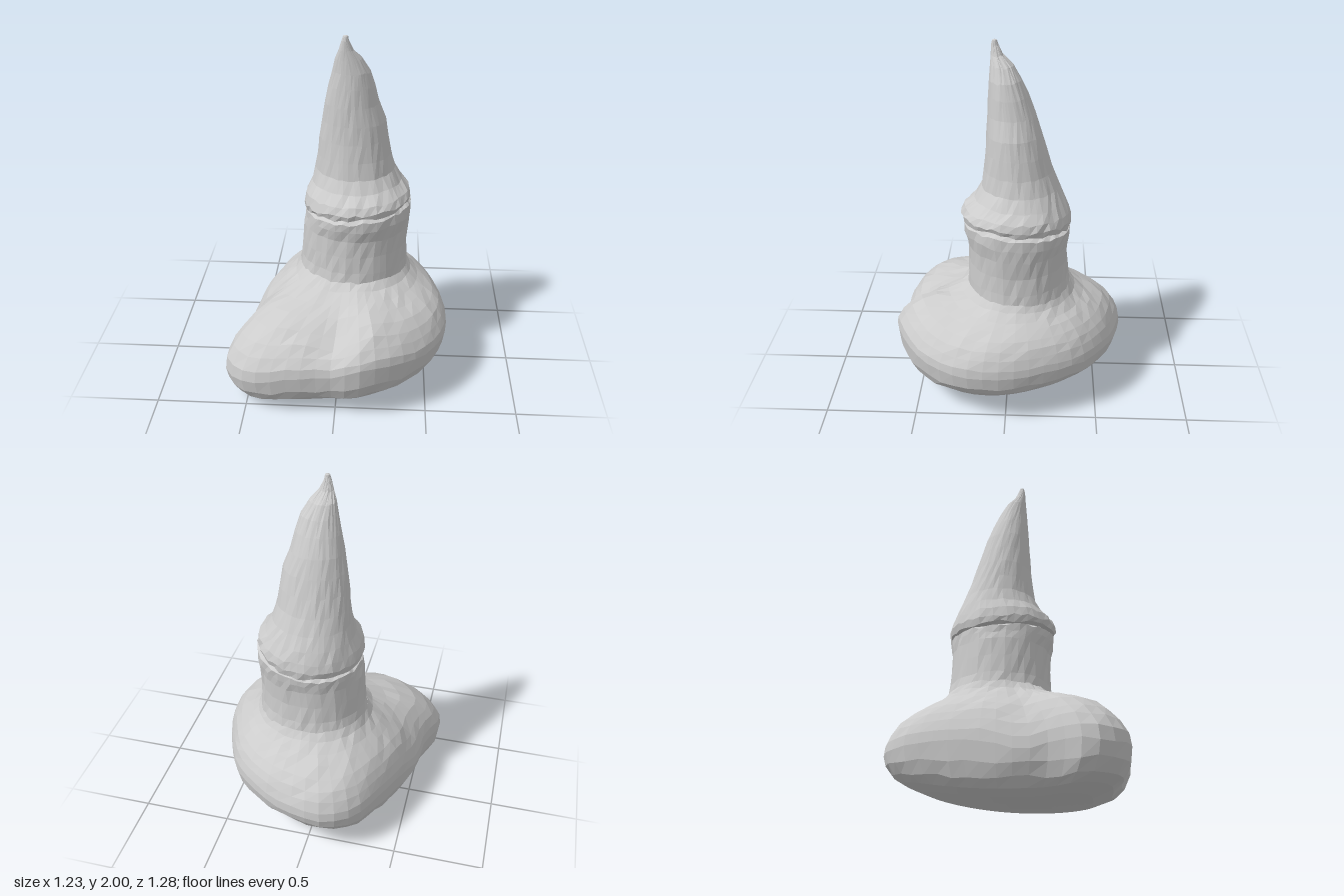
import * as THREE from 'three';

const SEG = 48;
const material = new THREE.MeshStandardMaterial({ color: 0xcccccc, flatShading: true, side: THREE.DoubleSide });

// Small repeatable wobble in -1..1
const wobble = (i, j) => {
  const s = Math.sin(i * 127.1 + j * 311.7) * 43758.5453;
  return (s - Math.floor(s)) * 2 - 1;
};

// Joins closed rings of points, listed from bottom to top, into one skin
function loft(name, rings) {
  const pos = rings.flat().flatMap((p) => [p.x, p.y, p.z]);
  const index = [];
  for (let j = 0; j < rings.length - 1; j++) {
    for (let i = 0; i < SEG; i++) {
      const k = (i + 1) % SEG;
      const a = j * SEG + i, b = j * SEG + k, c = a + SEG, d = b + SEG;
      index.push(a, c, b, b, c, d);
    }
  }
  const geometry = new THREE.BufferGeometry();
  geometry.setAttribute('position', new THREE.Float32BufferAttribute(pos, 3));
  geometry.setIndex(index);
  geometry.computeVertexNormals();
  const mesh = new THREE.Mesh(geometry, material);
  mesh.name = name;
  return mesh;
}

// Rough oval ring given by its extents; tilt raises the left and front edges
function oval([y, x0, x1, z0, z1, tilt = 0, rough = 0.004], j) {
  return Array.from({ length: SEG }, (_, i) => {
    const a = (i / SEG) * Math.PI * 2;
    const r = 1 + 0.015 * wobble(i, j);
    return new THREE.Vector3(
      (x0 + x1) / 2 + ((x1 - x0) / 2) * r * Math.cos(a),
      y + tilt * (Math.cos(a) + 0.7 * Math.sin(a)) + rough * wobble(i, j + 9),
      (z0 + z1) / 2 + ((z1 - z0) / 2) * r * Math.sin(a));
  });
}

function createBase() {
  // Widest outline: x, height, z
  const outline = new THREE.CatmullRomCurve3([
    [-0.1, 0.29, -0.645], [0.15, 0.3, -0.605], [0.31, 0.32, -0.525], [0.45, 0.33, -0.4],
    [0.55, 0.33, -0.2], [0.61, 0.33, 0], [0.605, 0.33, 0.2], [0.53, 0.33, 0.37],
    [0.38, 0.34, 0.53], [0.13, 0.35, 0.64], [-0.05, 0.3, 0.61], [-0.22, 0.27, 0.61],
    [-0.5, 0.21, 0.565], [-0.62, 0.2, 0.41], [-0.55, 0.22, 0.22], [-0.53, 0.22, 0.07],
    [-0.46, 0.25, -0.15], [-0.38, 0.27, -0.35], [-0.27, 0.28, -0.55],
  ].map((p) => new THREE.Vector3(...p)), true).getSpacedPoints(SEG).slice(0, SEG);

  const floorAt = (x, z) => 0.15 * (x + 0.42) ** 2 + 0.25 * (z - 0.15) ** 2;
  const rings = [];

  // Underside: scale of the outline, and blend from outline height to floor
  for (const [scale, drop] of [[0, 1], [0.35, 1], [0.68, 1], [0.84, 0.92], [0.925, 0.74], [0.98, 0.45]]) {
    rings.push(outline.map((p, i) => {
      const x = p.x * scale, z = p.z * scale;
      const y = THREE.MathUtils.lerp(p.y, floorAt(x, z), drop);
      return new THREE.Vector3(x, Math.max(0, y + (scale > 0.9 ? 0.012 * wobble(i, scale) : 0)), z);
    }));
  }

  // Soft swellings and valleys of the upper side: x, z, width, height
  const relief = [
    [0.0, 0.5, 0.1, -0.05], [0.21, 0.48, 0.14, 0.045],
    [-0.3, 0.4, 0.16, 0.025], [-0.5, 0.08, 0.11, -0.045],
  ];

  // Shoulder: from the outline (out = 1) up to the neck (out = 0)
  for (const [out, rise] of [[1, 0], [0.98, 0.15], [0.9, 0.31], [0.8, 0.44], [0.65, 0.57], [0.45, 0.69], [0.28, 0.78], [0.1, 0.9], [0, 1.02]]) {
    rings.push(outline.map((p, i) => {
      const a = Math.atan2(p.z + 0.06, p.x - 0.075);
      const x = THREE.MathUtils.lerp(0.075 + 0.305 * Math.cos(a), p.x, out);
      const z = THREE.MathUtils.lerp(-0.06 + 0.285 * Math.sin(a), p.z, out);
      let y = THREE.MathUtils.lerp(p.y, 0.64, rise) + 0.006 * wobble(i, out * 7);
      for (const [rx, rz, w, h] of relief) y += h * Math.exp(-((x - rx) ** 2 + (z - rz) ** 2) / w ** 2);
      return new THREE.Vector3(x, y, z);
    }));
  }
  return loft('base', rings);
}

export function createModel() {
  const group = new THREE.Group();
  group.name = 'pointedFigure';
  group.add(createBase());

  // Ring rows: y, x from, x to, z from, z to, tilt, roughness
  group.add(loft('neck', [
    [0.635, -0.232, 0.382, -0.347, 0.227],
    [0.7, -0.22, 0.376, -0.333, 0.22],
    [0.8, -0.212, 0.373, -0.325, 0.218],
    [0.9, -0.203, 0.382, -0.325, 0.22],
    [0.96, -0.198, 0.39, -0.333, 0.236, 0.015, 0.008],
    [1.005, -0.194, 0.388, -0.337, 0.243, 0.025, 0.01],
    [1.025, -0.165, 0.36, -0.31, 0.215, 0.028, 0],
  ].map(oval)));

  group.add(loft('pointedCap', [
    [1.025, -0.165, 0.36, -0.31, 0.215, 0.028, 0],
    [1.028, -0.194, 0.378, -0.335, 0.245, 0.028, 0.01],
    [1.06, -0.2, 0.387, -0.342, 0.255, 0.024, 0.01],
    [1.105, -0.187, 0.375, -0.33, 0.235, 0.015, 0.008],
    [1.16, -0.16, 0.335, -0.305, 0.18, 0.006],
    [1.23, -0.138, 0.295, -0.27, 0.145],
    [1.32, -0.125, 0.272, -0.235, 0.13],
    [1.42, -0.113, 0.257, -0.203, 0.121],
    [1.52, -0.098, 0.24, -0.174, 0.115],
    [1.62, -0.082, 0.205, -0.142, 0.11],
    [1.72, -0.06, 0.182, -0.103, 0.105],
    [1.8, -0.04, 0.157, -0.065, 0.1],
    [1.87, -0.025, 0.115, -0.025, 0.095],
    [1.92, -0.005, 0.07, 0.03, 0.092],
    [1.97, 0.01, 0.047, 0.052, 0.09],
    [1.995, 0.018, 0.043, 0.06, 0.084, 0, 0],
    [2.0, 0.03, 0.03, 0.072, 0.072, 0, 0],
  ].map(oval)));

  return group;
}
